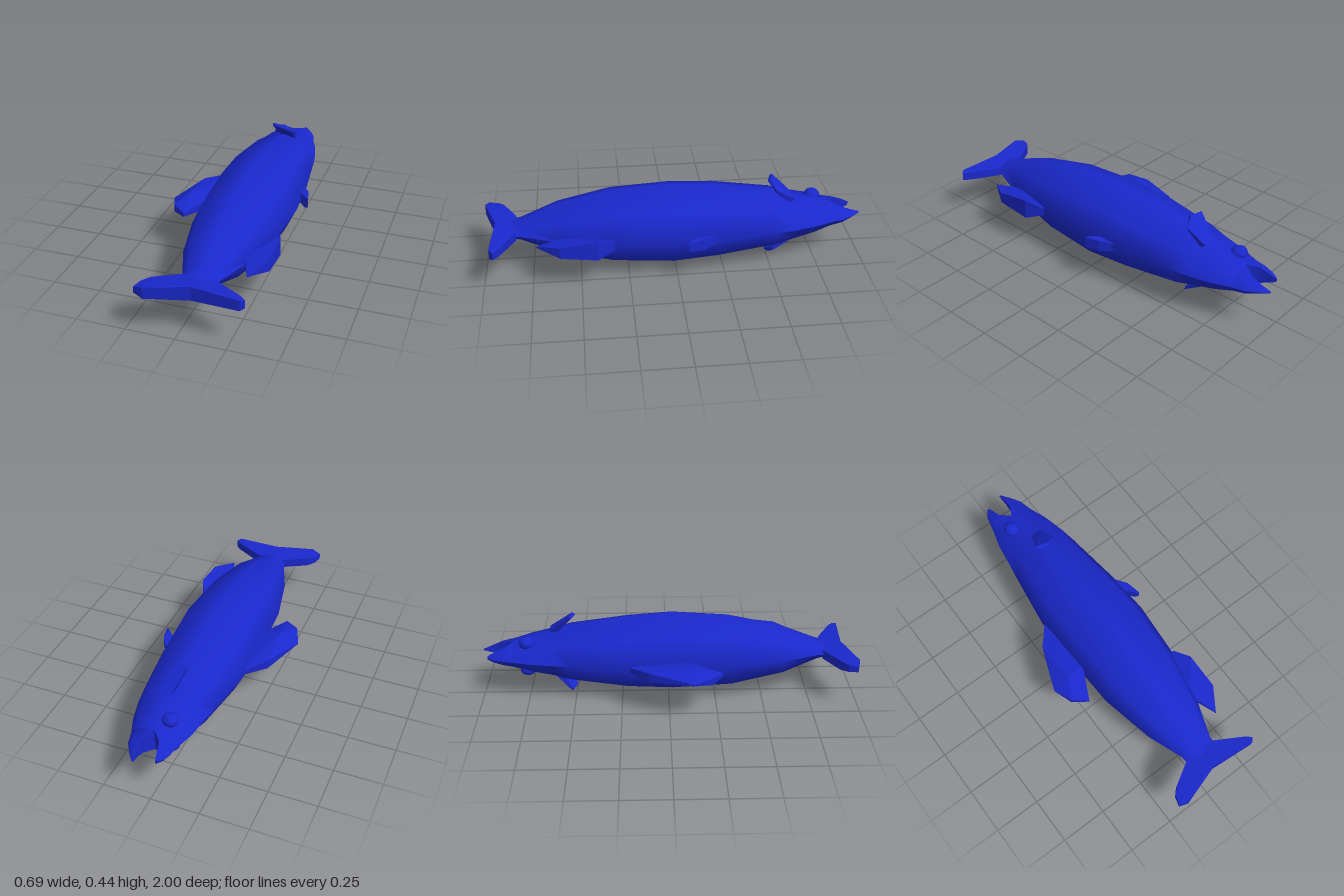
import * as THREE from 'three';
import { toCreasedNormals } from 'three/addons/utils/BufferGeometryUtils.js';
import { ConvexGeometry } from 'three/addons/geometries/ConvexGeometry.js';

const MID = 0.226; // height of the fish's plane of symmetry (it lies on its side)
const smooth = new THREE.MeshStandardMaterial({ color: 0x1a28cc });
const faceted = new THREE.MeshStandardMaterial({ color: 0x1a28cc, flatShading: true });

// Skin a list of equal-length rings, ordered by rising z, and close both ends
function loft(rings) {
  const n = rings[0].length, index = [];
  for (let r = 0; r < rings.length - 1; r++) {
    for (let i = 0; i < n; i++) {
      const j = (i + 1) % n, a = r * n + i, b = r * n + j;
      index.push(a, b, b + n, a, b + n, a + n);
    }
  }
  const last = (rings.length - 1) * n;
  for (let i = 1; i < n - 1; i++) index.push(0, i + 1, i, last, last + i, last + i + 1);
  const geo = new THREE.BufferGeometry();
  geo.setAttribute('position', new THREE.Float32BufferAttribute(rings.flat(2), 3));
  geo.setIndex(index);
  return toCreasedNormals(geo, 1.0);
}

// Eight-sided body ring between back (x0) and belly (x1), half thickness h
function bodyRing([z, x0, x1, h]) {
  const c = (x0 + x1) / 2, w = (x1 - x0) / 2, d = 0.73, e = 0.645;
  return [[1, 0], [d, e], [0, 1], [-d, e], [-1, 0], [-d, -e], [0, -1], [d, -e]]
    .map(([x, y]) => [c + x * w, MID + y * h, z]);
}

// Half ring with a flat inner side for a jaw
function jawRing([z, inner, outer, h]) {
  const m = inner + 0.73 * (outer - inner);
  const ring = [[outer, 0], [m, 0.645 * h], [inner, h], [inner, -h], [m, -0.645 * h]]
    .map(([x, y]) => [x, MID + y, z]);
  return outer < inner ? ring.reverse() : ring;
}

// Fin symmetric about the middle plane; points are [x, z, half thickness]
function fin(points) {
  return new ConvexGeometry(points.flatMap(([x, z, h]) =>
    [new THREE.Vector3(x, MID + h, z), new THREE.Vector3(x, MID - h, z)]));
}

export function createModel() {
  const fish = new THREE.Group();
  fish.name = 'fish';
  const add = (name, geo, mat = faceted) => {
    const mesh = new THREE.Mesh(geo, mat);
    mesh.name = name;
    fish.add(mesh);
    return mesh;
  };

  // Body from the back of the mouth to the tail root
  add('body', loft([
    [-0.83, -0.08, 0.17, 0.064], [-0.74, -0.105, 0.205, 0.092], [-0.62, -0.122, 0.235, 0.122],
    [-0.53, -0.137, 0.25, 0.155], [-0.22, -0.18, 0.29, 0.199], [0.02, -0.18, 0.305, 0.218],
    [0.33, -0.165, 0.28, 0.198], [0.61, -0.105, 0.22, 0.133], [0.8, -0.033, 0.15, 0.048],
    [0.86, -0.03, 0.145, 0.026],
  ].map(bodyRing)), smooth);

  // Open jaws
  add('upperJaw', loft([
    [-0.965, -0.02, -0.032, 0.01], [-0.93, -0.012, -0.056, 0.026],
    [-0.88, -0.003, -0.068, 0.046], [-0.83, 0.045, -0.08, 0.064],
  ].map(jawRing)), smooth);
  add('lowerJaw', loft([
    [-1, 0.075, 0.085, 0.003], [-0.95, 0.08, 0.122, 0.02],
    [-0.9, 0.08, 0.152, 0.04], [-0.83, 0.045, 0.17, 0.064],
  ].map(jawRing)), smooth);

  // Fins along the back and belly
  add('dorsalFin', fin([
    [-0.15, -0.24, 0.01], [-0.26, -0.11, 0.025], [-0.35, 0.12, 0.004], [-0.31, 0.22, 0.02],
    [-0.258, 0.12, 0.054], [-0.235, 0.275, 0.01], [-0.15, 0.1, 0.03],
  ]));
  add('bellyFin', fin([
    [0.28, -0.2, 0.02], [0.325, -0.13, 0.03], [0.343, -0.05, 0.026],
    [0.325, -0.06, 0.032], [0.28, -0.11, 0.026],
  ]));
  add('analFin', fin([
    [0.25, 0.32, 0.015], [0.285, 0.325, 0.024], [0.328, 0.41, 0.054], [0.33, 0.6, 0.03],
    [0.255, 0.72, 0.004], [0.2, 0.57, 0.016],
  ]));

  // Forked tail, one half on each side
  add('tailUpperLobe', fin([
    [0.06, 0.82, 0.026], [-0.03, 0.83, 0.024], [-0.15, 0.9, 0.026], [-0.185, 0.935, 0.02],
    [-0.2, 0.985, 0.016], [-0.15, 1, 0.03], [-0.05, 0.96, 0.036], [0.06, 0.935, 0.037],
  ]));
  add('tailLowerLobe', fin([
    [0.06, 0.82, 0.026], [0.145, 0.828, 0.024], [0.19, 0.862, 0.024], [0.29, 0.91, 0.022],
    [0.32, 0.935, 0.02], [0.3, 0.955, 0.028], [0.06, 0.935, 0.037],
  ]));

  // Paired eyes and side fins
  for (const s of [1, -1]) {
    const side = s > 0 ? 'Upper' : 'Lower';
    const eye = add('eye' + side, new THREE.SphereGeometry(0.042, 16, 10), smooth);
    eye.scale.y = 0.75;
    eye.position.set(-0.005, MID + s * 0.078, -0.755);
    const points = [
      [0.045, 0.122, -0.635], [0.115, 0.122, -0.635], [0.045, 0.1, -0.61], [0.115, 0.1, -0.61],
      [0.005, 0.222, -0.525], [0.07, 0.222, -0.51], [0.125, 0.185, -0.53],
      [0.005, 0.21, -0.515], [0.065, 0.21, -0.495], [0.12, 0.17, -0.53],
    ];
    add('pectoralFin' + side, new ConvexGeometry(
      points.map(([x, y, z]) => new THREE.Vector3(x, MID + s * y, z))));
  }
  return fish;
}
